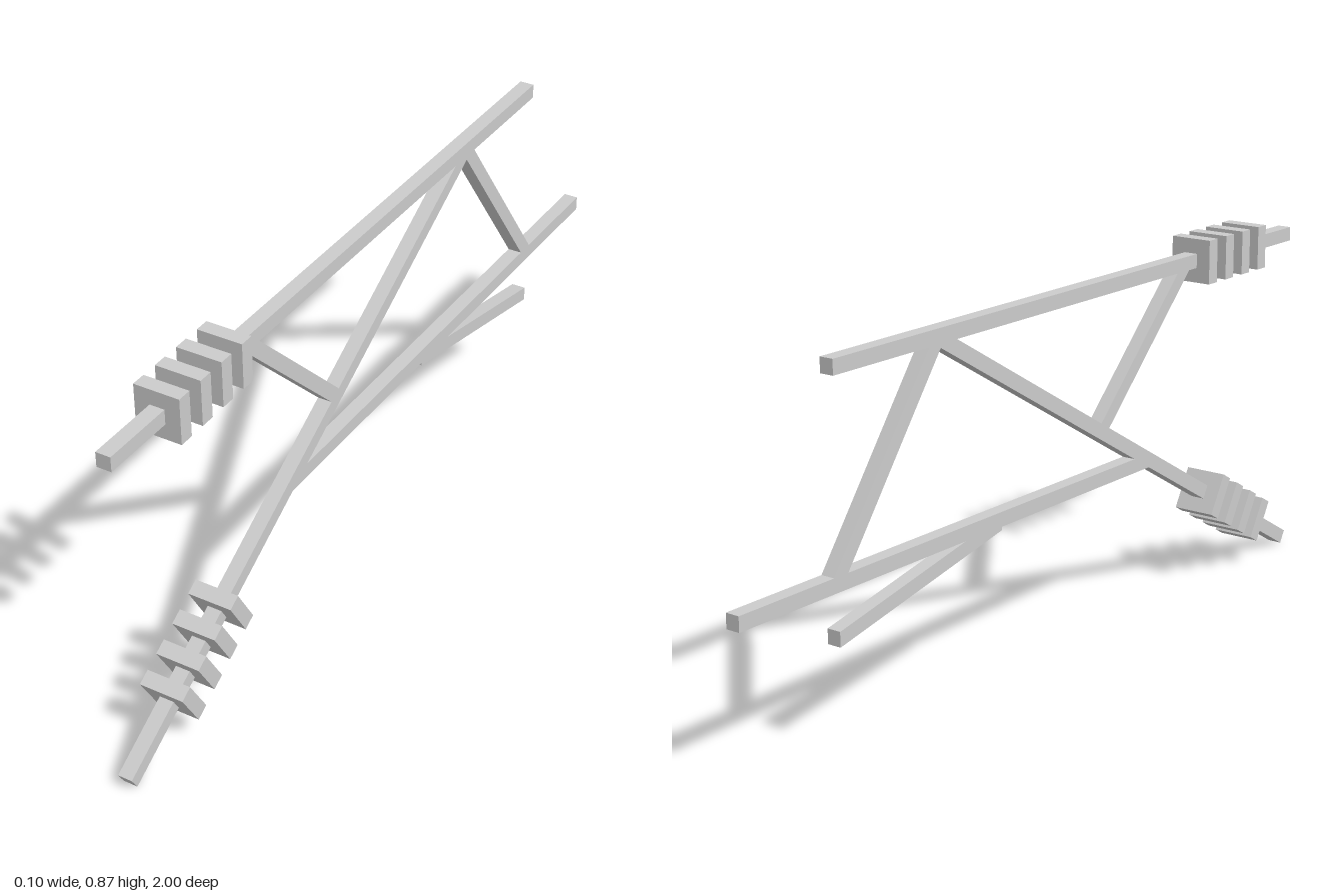
import * as THREE from 'three';

const T = 0.034; // bar thickness
const material = new THREE.MeshStandardMaterial({ color: 0xcccccc, flatShading: true });

// Square bar between two points [z, y] in the side plane; its local z runs along the bar
function bar(name, [z0, y0], [z1, y1]) {
  const dz = z1 - z0, dy = y1 - y0;
  const mesh = new THREE.Mesh(new THREE.BoxGeometry(T, T, Math.hypot(dz, dy)), material);
  mesh.name = name;
  mesh.position.set(0, (y0 + y1) / 2, (z0 + z1) / 2);
  mesh.rotation.x = -Math.atan2(dy, dz);
  return mesh;
}

// Four square plates spaced evenly from one point to another, aligned with their bar
function collars(name, [z0, y0], [z1, y1]) {
  const group = new THREE.Group();
  group.name = name;
  const geometry = new THREE.BoxGeometry(0.105, 0.105, T);
  for (let i = 0; i < 4; i++) {
    const t = i / 3;
    const plate = new THREE.Mesh(geometry, material);
    plate.name = 'collarPlate';
    plate.position.set(0, y0 + (y1 - y0) * t, z0 + (z1 - z0) * t);
    plate.rotation.x = -Math.atan2(y1 - y0, z1 - z0);
    group.add(plate);
  }
  return group;
}

// Slanted prong with upright end faces
function prong([z0, y0], [z1, y1]) {
  const h = T / 2;
  const shape = new THREE.Shape([
    new THREE.Vector2(-z0, y0 - h), new THREE.Vector2(-z1, y1 - h),
    new THREE.Vector2(-z1, y1 + h), new THREE.Vector2(-z0, y0 + h),
  ]);
  const geometry = new THREE.ExtrudeGeometry(shape, { depth: T, bevelEnabled: false });
  geometry.translate(0, 0, -h);
  geometry.rotateY(Math.PI / 2);
  const mesh = new THREE.Mesh(geometry, material);
  mesh.name = 'lowerProng';
  return mesh;
}

export function createModel() {
  const model = new THREE.Group();
  model.name = 'barFrame';
  model.add(
    // Long bars
    bar('upperBar', [-0.717, 0.818], [0.985, 0.818]),
    bar('lowerBar', [-1, 0.37], [0.377, 0.37]),
    bar('diagonalBar', [-0.385, 0.81], [0.992, 0.015]),
    // Struts joining them
    bar('frontStrut', [0.517, 0.812], [0.182, 0.482]),
    bar('rearStrut', [-0.395, 0.812], [-0.718, 0.375]),
    prong([-0.19, 0.362], [-0.717, 0.252]),
    // Stacked plates near the front ends
    collars('upperCollars', [0.579, 0.818], [0.794, 0.818]),
    collars('diagonalCollars', [0.635, 0.221], [0.82, 0.114]),
  );
  return model;
}
